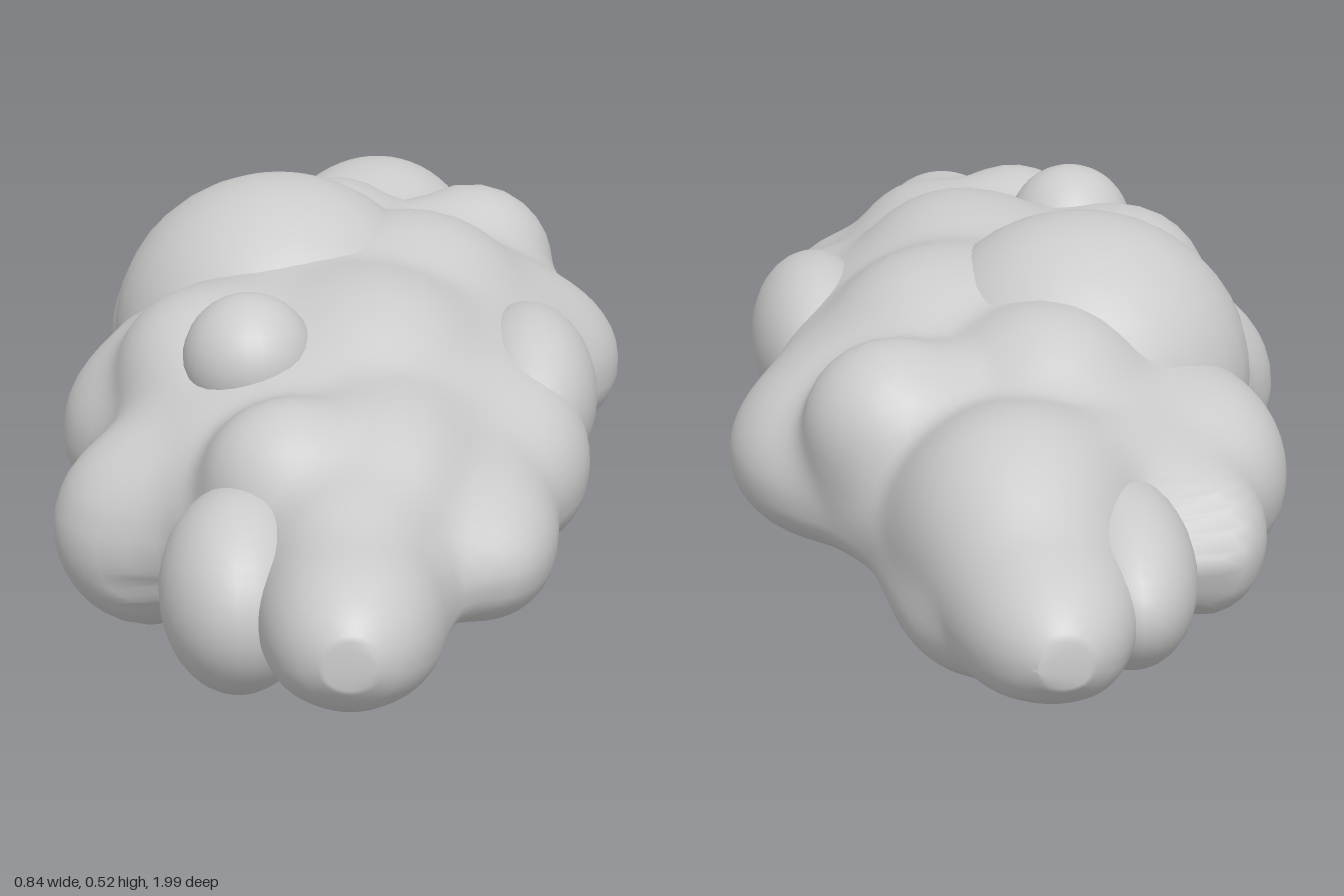
import * as THREE from 'three';

const material = new THREE.MeshStandardMaterial({ color: 0xcccccc, roughness: 0.9 });

// Body stations, back to front: z, right edge x, left edge x, bottom y, top y
const stations = [
  [-0.995, 0.025, 0.055, 0.18, 0.21],
  [-0.93, -0.02, 0.11, 0.13, 0.26],
  [-0.8, -0.05, 0.17, 0.1, 0.32],
  [-0.65, -0.14, 0.22, 0.08, 0.38],
  [-0.5, -0.28, 0.27, 0.09, 0.38],
  [-0.35, -0.34, 0.35, 0.09, 0.4],
  [-0.2, -0.35, 0.4, 0.09, 0.43],
  [0, -0.37, 0.35, 0.09, 0.45],
  [0.2, -0.35, 0.32, 0.09, 0.44],
  [0.4, -0.32, 0.3, 0.09, 0.39],
  [0.55, -0.23, 0.25, 0.09, 0.35],
  [0.7, -0.15, 0.16, 0.1, 0.31],
  [0.85, -0.1, 0.11, 0.1, 0.28],
  [0.95, -0.06, 0.06, 0.14, 0.25],
  [0.995, -0.015, 0.015, 0.18, 0.21],
];

// Swells that melt into the body: centre x, y, z, radius x, y, z
const swells = [
  // Crown
  [-0.02, 0.35, -0.33, 0.13, 0.11, 0.15], [0.2, 0.31, -0.38, 0.13, 0.125, 0.13],
  [0.1, 0.36, -0.1, 0.15, 0.11, 0.17], [0.04, 0.37, 0.2, 0.13, 0.09, 0.18],
  [-0.2, 0.33, 0.18, 0.13, 0.11, 0.15], [-0.08, 0.29, 0.55, 0.12, 0.11, 0.12],
  [0.06, 0.28, 0.48, 0.11, 0.11, 0.2], [0, 0.26, 0.68, 0.09, 0.07, 0.12],
  // Left flank
  [0.28, 0.21, -0.21, 0.14, 0.11, 0.19], [0.25, 0.22, 0.28, 0.1, 0.12, 0.15],
  [0.19, 0.19, 0.52, 0.1, 0.1, 0.17],
  // Right flank
  [-0.25, 0.22, -0.36, 0.11, 0.13, 0.17], [-0.29, 0.2, 0.08, 0.13, 0.13, 0.17],
  [-0.28, 0.15, 0.36, 0.14, 0.145, 0.13], [-0.2, 0.2, -0.56, 0.1, 0.11, 0.14],
  // Tips
  [0.04, 0.2, -0.78, 0.125, 0.11, 0.215], [0.06, 0.26, -0.62, 0.15, 0.145, 0.2],
  [0, 0.19, 0.84, 0.11, 0.105, 0.155],
  // Belly folds
  [-0.12, 0.14, 0.42, 0.11, 0.09, 0.22], [0.02, 0.13, 0.2, 0.08, 0.065, 0.3],
  [-0.14, 0.13, 0, 0.12, 0.06, 0.25], [0.12, 0.14, -0.6, 0.1, 0.08, 0.2],
  [0.12, 0.13, -0.15, 0.08, 0.06, 0.25],
];

// Lobes that overlap the body with a crease
const lobes = {
  mainDome: [-0.1, 0.29, -0.12, 0.25, 0.235, 0.26],
  crownPuff: [-0.14, 0.38, 0.3, 0.095, 0.095, 0.1],
  leftSideLobe: [0.27, 0.27, 0.13, 0.1, 0.125, 0.2],
  backLobe: [-0.08, 0.2, -0.68, 0.1, 0.12, 0.21],
  frontLobe: [-0.15, 0.17, 0.66, 0.11, 0.14, 0.17],
};

// Approximate signed distance to an ellipsoid
function ellipsoidDistance(x, y, z, [cx, cy, cz, rx, ry, rz]) {
  const a = (x - cx) / rx, b = (y - cy) / ry, c = (z - cz) / rz;
  const f = Math.hypot(a, b, c);
  return (f * (f - 1)) / Math.max(Math.hypot(a / rx, b / ry, c / rz), 1e-6);
}

function smoothMin(a, b, k = 0.045) {
  const h = Math.max(k - Math.abs(a - b), 0);
  return Math.min(a, b) - (h * h) / (4 * k);
}

// Length of a ray from the section centre to the blended surface
function surfaceRadius(base, cx, cy, z, dx, dy) {
  let r = 0.6;
  for (let step = 0; step < 48 && r > base; step++) {
    const x = cx + dx * r, y = cy + dy * r;
    let d = (r - base) * 0.8;
    for (const swell of swells) d = smoothMin(d, ellipsoidDistance(x, y, z, swell));
    if (d < 0.0005) break;
    r -= d * 0.8;
  }
  return Math.max(r, base);
}

// Loft through the stations, swollen outward, closed at both ends
function bodyGeometry(rings = 120, sides = 72) {
  const spine = (k) => new THREE.CatmullRomCurve3(
    stations.map((s) => new THREE.Vector3(s[k], s[k + 1], s[0])), false, 'centripetal');
  const edges = spine(1), heights = spine(3);
  const positions = [], indices = [];
  for (let i = 0; i <= rings; i++) {
    const t = i / rings, e = edges.getPoint(t), h = heights.getPoint(t);
    const cx = (e.x + e.y) / 2, hw = (e.y - e.x) / 2, z = (e.z + h.z) / 2;
    const mid = h.x + (h.y - h.x) * 0.38;
    for (let j = 0; j < sides; j++) {
      const a = (j / sides) * Math.PI * 2, c = Math.cos(a), s = Math.sin(a);
      // Domed above; below, a rounded rim around a slightly hollow middle
      const rise = s > 0 ? s * (h.y - mid)
        : -(mid - h.x) * Math.pow(-s, 0.7) * (1 - 0.25 * Math.pow(-s, 6));
      const base = Math.hypot(hw * c, rise), dx = (hw * c) / base, dy = rise / base;
      const r = surfaceRadius(base, cx, mid, z, dx, dy);
      positions.push(cx + dx * r, mid + dy * r, z);
    }
  }
  for (let i = 0; i < rings; i++) {
    for (let j = 0; j < sides; j++) {
      const k = (j + 1) % sides, a = i * sides + j, b = i * sides + k;
      indices.push(a, b, b + sides, a, b + sides, a + sides);
    }
  }
  const last = rings * sides;
  for (let j = 1; j < sides - 1; j++) {
    indices.push(0, j + 1, j, last, last + j, last + j + 1);
  }
  const geometry = new THREE.BufferGeometry();
  geometry.setAttribute('position', new THREE.Float32BufferAttribute(positions, 3));
  geometry.setIndex(indices);
  geometry.computeVertexNormals();
  return geometry;
}

export function createModel() {
  const cloud = new THREE.Group();
  cloud.name = 'cloud';
  const add = (name, geometry) => {
    const mesh = new THREE.Mesh(geometry, material);
    mesh.name = name;
    cloud.add(mesh);
  };
  add('cloudBody', bodyGeometry());
  for (const [name, [x, y, z, rx, ry, rz]] of Object.entries(lobes)) {
    add(name, new THREE.SphereGeometry(1, 28, 20).scale(rx, ry, rz).translate(x, y, z));
  }
  return cloud;
}
